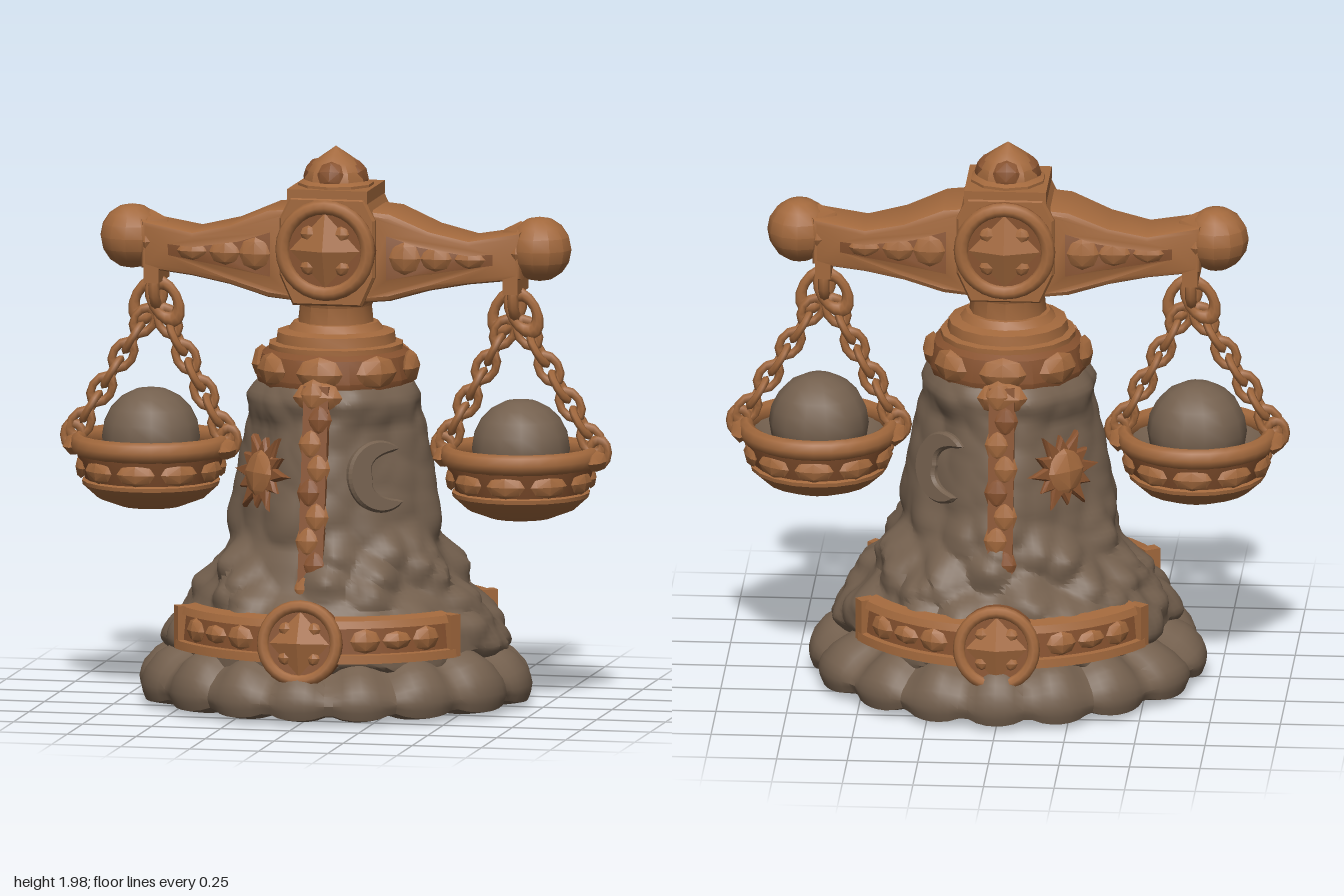
import * as THREE from 'three';
import { mergeVertices, toCreasedNormals } from 'three/addons/utils/BufferGeometryUtils.js';

const mat = (name, color, extra = {}) => Object.assign(new THREE.MeshStandardMaterial({ color, ...extra }), { name });

export function createModel() {
  const model = new THREE.Group();
  model.name = 'balanceScales';
  const bronze = mat('bronze', 0xa3693d, { side: THREE.DoubleSide });
  const rust = mat('rust', 0x87522f, { side: THREE.DoubleSide });
  const stone = mat('stone', 0x74604e);
  const dark = mat('darkBrown', 0x5f3f2a);

  let seed = 7;
  const rand = () => (seed = (seed * 16807) % 2147483647) / 2147483647;
  const smooth = THREE.MathUtils.smoothstep;

  const add = (parent, name, geo, material, x = 0, y = 0, z = 0) => {
    const m = new THREE.Mesh(geo, material);
    m.name = name;
    m.position.set(x, y, z);
    parent.add(m);
    return m;
  };
  const group = (parent, name, x = 0, y = 0, z = 0) => {
    const g = new THREE.Group();
    g.name = name;
    g.position.set(x, y, z);
    parent.add(g);
    return g;
  };
  const vecs = pts => pts.map(p => new THREE.Vector2(p[0], p[1]));
  const lathe = (pts, seg = 32, start = 0, len = Math.PI * 2) =>
    toCreasedNormals(new THREE.LatheGeometry(vecs(pts), seg, start, len), 0.6);
  // Faceted stud; detail 0 gives a pointed diamond, 1 a rounded knob
  const gem = (parent, name, x, y, z, sx, sy, sz, material = bronze, detail = 1) => {
    const m = add(parent, name, toCreasedNormals(new THREE.OctahedronGeometry(1, detail), 0.5), material, x, y, z);
    m.scale.set(sx, sy, sz);
    return m;
  };

  // Lathe resampled finely, with each vertex moved by a rule giving radius and height
  const rockLathe = (pts, rows, seg, rule, crease) => {
    const path = new THREE.CurvePath();
    const v = vecs(pts);
    for (let i = 1; i < v.length; i++) path.add(new THREE.LineCurve(v[i - 1], v[i]));
    let geo = new THREE.LatheGeometry(path.getSpacedPoints(rows), seg);
    geo.deleteAttribute('uv');
    geo.deleteAttribute('normal');
    geo = mergeVertices(geo, 1e-4);
    const p = geo.attributes.position;
    for (let i = 0; i < p.count; i++) {
      const x = p.getX(i), y = p.getY(i), z = p.getZ(i), r = Math.hypot(x, z);
      const [nr, ny] = rule(Math.atan2(x, z), y, r, x, z);
      const k = r > 1e-5 ? nr / r : 1;
      p.setXYZ(i, x * k, ny, z * k);
    }
    return toCreasedNormals(geo, crease);
  };

  // Ring of foot boulders
  const foot = rockLathe(
    [[0, 0.025], [0.28, 0.012], [0.6, 0.008], [0.69, 0.022], [0.708, 0.07], [0.695, 0.13], [0.645, 0.19], [0.57, 0.225], [0.45, 0.23]],
    36, 128, (a, y, r) => {
      const lobe = Math.abs(Math.cos(8 * a + 0.6 * Math.sin(2 * a)));
      const out = smooth(r, 0.3, 0.65);
      const valley = 1 - Math.sqrt(lobe);
      return [r * (1 - 0.065 * out * valley - 0.02 * out * Math.sin(2 * a) ** 4),
        y + out * (0.03 * valley * (1 - smooth(y, 0.03, 0.08)) - smooth(y, 0.05, 0.2) * (0.04 * (1 - lobe) + 0.015 * Math.sin(3 * a + 1)))];
    }, 0.6);
  add(model, 'footBoulders', foot, stone).scale.z = 0.955;
  add(model, 'undersideDisc', new THREE.CylinderGeometry(0.28, 0.28, 0.02, 24), dark, 0, 0.012, 0);

  // Rocky mound rising into the tower, with hollow panels and a seat for the base bands
  const body = [[0.58, 0.17], [0.63, 0.23], [0.61, 0.31], [0.565, 0.35], [0.53, 0.41], [0.485, 0.45], [0.44, 0.54],
    [0.4, 0.6], [0.388, 0.68], [0.357, 0.85], [0.322, 1.0], [0.305, 1.05], [0.315, 1.1], [0.287, 1.15], [0.15, 1.16]];
  const cells = [];
  for (let i = 0; i < 190; i++) {
    const t = rand() ** 1.3 * 0.95, a = rand() * Math.PI * 2, r = 0.6 - 0.3 * Math.min(1, t * 1.7);
    cells.push(new THREE.Vector3(Math.sin(a) * r, 0.2 + t, Math.cos(a) * r));
  }
  const q = new THREE.Vector3();
  add(model, 'rockTower', rockLathe(body, 64, 128, (a, y, r, x, z) => {
    q.set(x, y, z);
    const d = Math.min(...cells.map(c => c.distanceTo(q)));
    const amp = 0.075 - 0.055 * smooth(y, 0.45, 0.75);
    const hollow = smooth(y, 0.58, 0.7) * (1 - smooth(y, 1.0, 1.06)) * Math.sin(2 * a) ** 2;
    const rocky = r + amp * (0.4 - Math.min(1.3, d / 0.085)) * 0.8 - 0.035 * hollow;
    const seated = y < 0.4 && Math.abs(Math.cos(a)) > 0.53;
    return [seated ? Math.min(rocky, 0.562) : rocky, y];
  }, 0.7), stone);

  // Ringed medallion facing +z
  const medallion = (parent, name, x, y, z, R) => {
    const g = group(parent, name, x, y, z);
    add(g, 'medallionBack', new THREE.CylinderGeometry(R, R, 0.06, 24), rust, 0, 0, -0.025).rotation.x = Math.PI / 2;
    add(g, 'medallionRing', new THREE.TorusGeometry(R * 0.88, R * 0.15, 8, 28), bronze);
    gem(g, 'medallionGem', 0, 0, 0, R * 0.8, R * 0.85, 0.05, bronze, 0);
    for (let i = 0; i < 4; i++) {
      const a = Math.PI / 4 + i * Math.PI / 2;
      gem(g, 'medallionPetal', Math.cos(a) * R * 0.48, Math.sin(a) * R * 0.48, 0.002, R * 0.18, R * 0.18, 0.018);
    }
    return g;
  };

  const sunShape = new THREE.Shape();
  for (let i = 0; i < 24; i++) {
    const a = i / 24 * Math.PI * 2, r = i % 2 ? 0.075 : i % 4 ? 0.115 : 0.14;
    sunShape[i ? 'lineTo' : 'moveTo'](Math.cos(a) * r, Math.sin(a) * r);
  }
  const moonShape = new THREE.Shape();
  moonShape.absarc(0, 0, 0.12, 0.9, Math.PI * 2 - 0.9, false);
  moonShape.quadraticCurveTo(-0.06, -0.08, -0.04, 0);
  moonShape.quadraticCurveTo(-0.06, 0.08, 0.075, 0.094);
  const relief = (s, depth) => new THREE.ExtrudeGeometry(s, { depth, bevelSize: 0.008, bevelThickness: 0.012, bevelSegments: 1, curveSegments: 16 });

  // Ornaments shared by the front and back
  for (const side of [1, -1]) {
    const face = group(model, side > 0 ? 'frontOrnaments' : 'backOrnaments');
    face.rotation.y = side > 0 ? 0 : Math.PI;
    medallion(face, 'baseMedallion', 0, 0.29, 0.59, 0.15).rotation.x = -0.12;

    // Curved base band
    const w = 1.0;
    const arc = (name, pts, m) => add(face, name, lathe(pts, 20, -w, 2 * w), m);
    arc('bandPlate', [[0.56, 0.23], [0.585, 0.23], [0.57, 0.37], [0.53, 0.37]], rust);
    arc('bandLowerRail', [[0.56, 0.215], [0.606, 0.22], [0.603, 0.25], [0.56, 0.255]], bronze);
    arc('bandUpperRail', [[0.54, 0.342], [0.59, 0.344], [0.58, 0.37], [0.53, 0.38]], bronze);
    for (const s of [-1, 1]) {
      for (const [i, a] of [0.4, 0.6, 0.8].entries()) {
        const g = gem(face, 'bandGem', Math.sin(s * a) * 0.58, 0.297, Math.cos(a) * 0.58, 0.055, i === 1 ? 0.034 : 0.045, 0.022);
        g.rotation.y = s * a;
      }
      add(face, 'bandEnd', new THREE.BoxGeometry(0.045, 0.15, 0.06), bronze, s * Math.sin(w) * 0.572, 0.297, Math.cos(w) * 0.572).rotation.y = s * w;
    }

    // Rib running up the tower
    const rib = group(face, 'towerRib', 0, 0.79, 0.348);
    rib.rotation.x = -0.15;
    add(rib, 'ribPlate', new THREE.BoxGeometry(0.09, 0.76, 0.06), rust);
    for (let i = 0; i < 9; i++)
      gem(rib, 'ribKnot', (i % 2 ? 0.014 : -0.014), -0.34 + i * 0.086, 0.022, 0.045, 0.058, 0.022, i % 3 === 1 ? rust : bronze);
    gem(rib, 'ribCrown', 0, 0.34, 0.0, 0.09, 0.06, 0.04);

    // Sun on one side, moon on the other
    for (const s of [-1, 1]) {
      const panel = group(face, s < 0 ? 'reliefLeft' : 'reliefRight');
      panel.rotation.y = s * 0.72;
      const isSun = s * side < 0;
      const sign = add(panel, isSun ? 'sunRays' : 'moonCrescent', relief(isSun ? sunShape : moonShape, 0.03), isSun ? rust : stone, 0, 0.84, 0.298);
      sign.rotation.x = -0.16;
      if (isSun) gem(panel, 'sunFace', 0, 0.845, 0.333, 0.085, 0.09, 0.03).rotation.x = -0.16;
    }
  }

  // Collar and neck
  add(model, 'collar', lathe([[0.24, 1.13], [0.275, 1.14], [0.285, 1.17], [0.265, 1.25], [0.22, 1.28]], 16), rust);
  add(model, 'collarCap', lathe([[0.24, 1.265], [0.24, 1.285], [0.215, 1.29], [0.21, 1.325], [0.17, 1.335], [0.15, 1.36], [0, 1.37]], 16), bronze);
  for (let i = 0; i < 8; i++) {
    const a = i * Math.PI / 4;
    gem(model, 'collarBoss', Math.sin(a) * 0.268, 1.205, Math.cos(a) * 0.268, 0.085, 0.062, 0.034).rotation.y = a;
  }
  add(model, 'neck', lathe([[0.14, 1.33], [0.13, 1.42], [0.15, 1.46], [0.15, 1.52]], 12), bronze);

  // Hub with medallions and finial
  const hub = new THREE.Shape(vecs([[-0.12, 1.44], [0.12, 1.44], [0.165, 1.54], [0.165, 1.74], [0.13, 1.81], [-0.13, 1.81], [-0.165, 1.74], [-0.165, 1.54]]));
  add(model, 'hub', relief(hub, 0.28), bronze, 0, 0, -0.14);
  medallion(model, 'frontHubMedallion', 0, 1.635, 0.177, 0.175);
  medallion(model, 'backHubMedallion', 0, 1.635, -0.177, 0.175).rotation.y = Math.PI;
  add(model, 'hubCap', new THREE.BoxGeometry(0.29, 0.045, 0.29), bronze, 0, 1.823, 0);
  add(model, 'finial', lathe([[0.135, 1.84], [0.135, 1.855], [0.112, 1.865], [0.104, 1.9], [0.08, 1.93], [0.045, 1.955], [0, 1.985]], 10), bronze);
  for (let i = 0; i < 4; i++) {
    const a = i * Math.PI / 2;
    const leaf = gem(model, 'finialLeaf', Math.sin(a) * 0.087, 1.895, Math.cos(a) * 0.087, 0.05, 0.05, 0.024, rust);
    leaf.rotation.set(-0.5, a, 0, 'YXZ');
  }

  // Chain of alternating oval links between two points
  const linkGeo = new THREE.TorusGeometry(0.035, 0.0145, 6, 10);
  const chain = (parent, name, ax, ay, bx, by, n) => {
    const g = group(parent, name, ax, ay);
    g.rotation.z = Math.atan2(bx - ax, ay - by);
    const step = Math.hypot(bx - ax, by - ay) / n;
    for (let i = 0; i < n; i++) {
      const l = add(g, 'link', linkGeo, bronze, 0, -(i + 0.5) * step, 0);
      l.scale.y = 1.45;
      l.rotation.y = i % 2 ? Math.PI / 2 : 0.15;
    }
  };

  const beamOuter = [[0.12, 1.77], [0.22, 1.76], [0.36, 1.7], [0.5, 1.668], [0.68, 1.7], [0.68, 1.545], [0.5, 1.525], [0.36, 1.5], [0.22, 1.46], [0.12, 1.45]];
  const beamInner = [[0.2, 1.7], [0.33, 1.66], [0.5, 1.632], [0.6, 1.64], [0.6, 1.578], [0.5, 1.562], [0.33, 1.54], [0.2, 1.515]];
  const beamPart = (hole, half) => {
    const s = new THREE.Shape(vecs(beamOuter));
    if (hole) s.holes.push(new THREE.Path(vecs(beamInner)));
    const geo = new THREE.ExtrudeGeometry(s, { depth: 2 * half - 0.05, bevelSize: 0.02, bevelOffset: hole ? -0.012 : -0.022, bevelThickness: 0.025, bevelSegments: 2 });
    geo.translate(0, 0, 0.025 - half);
    const p = geo.attributes.position;
    for (let i = 0; i < p.count; i++) p.setZ(i, p.getZ(i) * (1 - 0.3 * smooth(p.getX(i), 0.15, 0.68)));
    return toCreasedNormals(geo, 0.7);
  };

  // One arm with chains, pan and weight, turned round for the other side
  for (const side of [1, -1]) {
    const arm = group(model, side > 0 ? 'leftArm' : 'rightArm');
    arm.rotation.y = side > 0 ? 0 : Math.PI;
    add(arm, 'beamFrame', beamPart(true, 0.13), bronze);
    add(arm, 'beamPanel', beamPart(false, 0.107), rust);
    for (const z of [1, -1]) [0.27, 0.38, 0.5].forEach((x, i) =>
      gem(arm, 'beamOrnament', x, 1.605, z * (0.1 - i * 0.01), 0.06, 0.06 - i * 0.012, 0.022));
    add(arm, 'beamEnd', toCreasedNormals(new THREE.SphereGeometry(0.115, 12, 8), 0.6), bronze, 0.738, 1.64, 0);
    gem(arm, 'beamKnuckle', 0.67, 1.632, 0, 0.085, 0.105, 0.1);

    // Hanger strap and shackle
    add(arm, 'hangerStrap', new THREE.BoxGeometry(0.055, 0.15, 0.18), bronze, 0.65, 1.56, 0);
    const eye = add(arm, 'hangerEye', new THREE.TorusGeometry(0.045, 0.02, 8, 14), bronze, 0.65, 1.47, 0);
    eye.rotation.y = Math.PI / 2;
    eye.scale.y = 1.5;
    for (const s of [-1, 1]) {
      const shackle = add(arm, 'shackle', new THREE.TorusGeometry(0.045, 0.018, 8, 14), bronze, 0.65 + s * 0.032, 1.412, s * 0.01);
      shackle.scale.y = 1.6;
      shackle.rotation.z = s * 0.5;
    }
    chain(arm, 'outerChain', 0.675, 1.37, 0.945, 0.93, 7);
    chain(arm, 'innerChain', 0.625, 1.37, 0.395, 0.93, 7);

    // Pan
    const pan = group(arm, 'pan', 0.67);
    add(pan, 'panBowl', lathe([[0, 0.67], [0.11, 0.68], [0.19, 0.71], [0.243, 0.758], [0.245, 0.772], [0.225, 0.78]], 20), bronze);
    add(pan, 'panBand', lathe([[0.23, 0.77], [0.253, 0.83], [0.268, 0.885]], 20), rust);
    add(pan, 'panFloor', lathe([[0.25, 0.9], [0.2, 0.86], [0, 0.82]], 20), stone);
    const rim = add(pan, 'panRim', new THREE.TorusGeometry(0.258, 0.029, 8, 28), bronze, 0, 0.9, 0);
    rim.rotation.x = Math.PI / 2;
    rim.scale.z = 1.3;
    for (let i = 0; i < 10; i++) {
      const a = i / 10 * Math.PI * 2;
      gem(pan, 'panOrnament', Math.sin(a) * 0.248, 0.82, Math.cos(a) * 0.248, 0.07, 0.042, 0.02).rotation.y = a;
    }
    for (const s of [-1, 1]) {
      gem(pan, 'panBracket', s * 0.275, 0.89, 0, 0.04, 0.04, 0.11);
      const loop = add(pan, 'panLoop', new THREE.TorusGeometry(0.034, 0.015, 6, 12), bronze, s * 0.281, 0.92, 0);
      loop.scale.y = 1.3;
    }
    add(pan, 'weightBall', toCreasedNormals(new THREE.SphereGeometry(0.177, 14, 10), 0.7), stone, 0, 0.925, 0);
  }
  return model;
}
